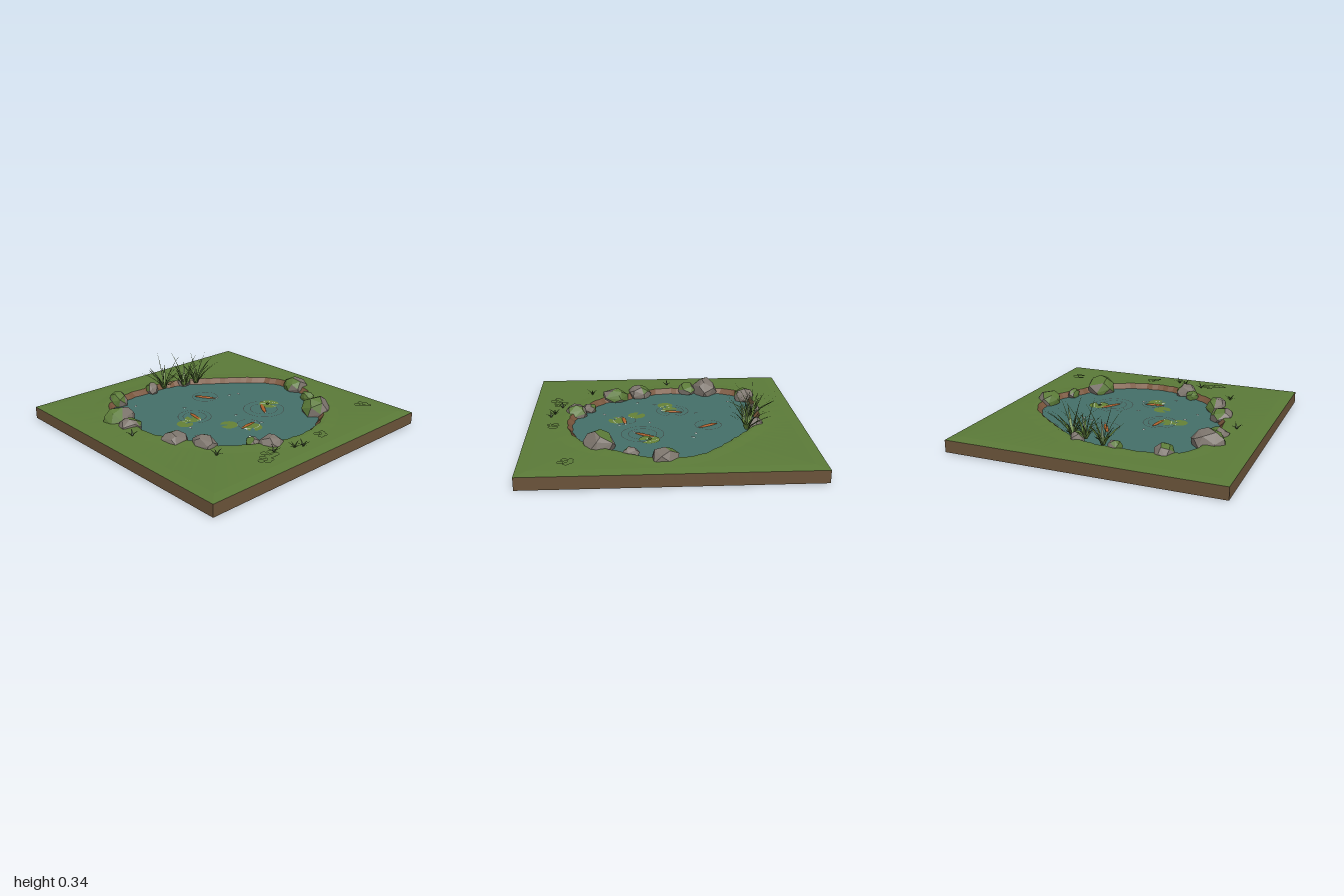
import * as THREE from 'three';
import { mergeGeometries } from 'three/addons/utils/BufferGeometryUtils.js';
import { ConvexGeometry } from 'three/addons/geometries/ConvexGeometry.js';

const WATER = 0.068;

function material(name, color, side = THREE.FrontSide) {
  const m = new THREE.MeshStandardMaterial({ color, side });
  m.name = name;
  return m;
}

// Small seeded generator
function seeded(seed) {
  let s = seed * 7919 + 17;
  return () => ((s = (s * 16807) % 2147483647) / 2147483647);
}

// Faceted surface between successive closed loops, facing up when they widen
function loft(loops) {
  const pos = [];
  for (let k = 0; k + 1 < loops.length; k++) {
    const a = loops[k], b = loops[k + 1], n = a.length;
    for (let i = 0; i < n; i++) {
      const j = (i + 1) % n;
      for (const p of [a[i], a[j], b[i], a[j], b[j], b[i]]) pos.push(p.x, p.y, p.z);
    }
  }
  const g = new THREE.BufferGeometry();
  g.setAttribute('position', new THREE.Float32BufferAttribute(pos, 3));
  g.computeVertexNormals();
  return g;
}

// Tapering, bending leaf blade
function blade(x, y, z, yaw, height, reach, width) {
  const c = Math.cos(yaw), s = Math.sin(yaw), steps = 4, pos = [];
  const at = (t, side) => {
    const out = reach * Math.pow(t, 1.5), w = side * width * (1 - t) * (0.6 + t);
    return [x + c * out - s * w, y + height * (t - 0.15 * t * t) / 0.85, z + s * out + c * w];
  };
  for (let i = 0; i < steps; i++) {
    const t = i / steps, u = (i + 1) / steps;
    pos.push(...at(t, -1), ...at(t, 1), ...at(u, 1));
    pos.push(...at(t, -1), ...at(u, 1), ...at(u, -1));
  }
  const g = new THREE.BufferGeometry();
  g.setAttribute('position', new THREE.Float32BufferAttribute(pos, 3));
  g.computeVertexNormals();
  return g;
}

const flat = (g, x, y, z, yaw = 0) => g.rotateX(-Math.PI / 2).rotateY(yaw).translate(x, y, z);

export function createModel() {
  const model = new THREE.Group();
  model.name = 'pond';
  const D = THREE.DoubleSide;
  const grass = material('grass green', 0x5b7a38);
  const soil = material('soil brown', 0x6a5339);
  const mud = material('bank brown', 0x78553c);
  const waterBlue = material('water teal', 0x446f68);
  const stone = material('stone grey', 0x7d756d);
  const reedDark = material('reed dark green', 0x425a2b, D);
  const reedLight = material('reed light green', 0x64843a, D);
  const lily = material('lily olive', 0x658136, D);
  const koi = material('koi orange', 0xae602c, D);
  const white = material('pale white', 0xc4cdc8, D);
  const add = (name, geometry, mat, parent = model) => {
    const mesh = new THREE.Mesh(geometry, mat);
    mesh.name = name;
    parent.add(mesh);
    return mesh;
  };

  // Pond outline as a radius every 15 degrees
  const radii = [0.78, 0.765, 0.735, 0.75, 0.75, 0.735, 0.715, 0.685, 0.665, 0.66, 0.62, 0.64,
    0.68, 0.705, 0.78, 0.86, 0.82, 0.745, 0.715, 0.685, 0.65, 0.65, 0.69, 0.76];
  const outline = new THREE.CatmullRomCurve3(radii.map((r, i) => {
    const a = (i * Math.PI) / 12;
    return new THREE.Vector3(r * Math.cos(a), 0, r * Math.sin(a));
  }), true);
  const N = 96;
  const shore = (offset, y) => Array.from({ length: N }, (_, i) => {
    const p = outline.getPoint(i / N);
    return p.setLength(p.length() + offset + 0.006 * Math.sin(i * 2.3)).setY(y);
  });
  const square = (half, y) => Array.from({ length: N }, (_, i) => {
    const a = (i * 2 * Math.PI) / N, c = Math.cos(a), s = Math.sin(a);
    const r = half / Math.max(Math.abs(c), Math.abs(s));
    return new THREE.Vector3(c * r, y, s * r);
  });
  const centre = (y) => Array.from({ length: N }, () => new THREE.Vector3(0, y, 0));

  // Soil sides and underside, lawn, bank and water
  add('soil', loft([square(1, 0.089), square(1, 0), centre(0)]), soil);
  add('lawn', loft([shore(0, 0.105), shore(0.03, 0.107), shore(0.11, 0.1),
    square(0.92, 0.098), square(1, 0.089)]), grass);
  add('bank', loft([shore(-0.045, 0.058), shore(0, 0.105)]), mud);
  add('water', loft([centre(WATER), shore(-0.03, WATER)]), waterBlue);

  // Rocks: x, z, half width, half depth, top height, moss direction (degrees), moss threshold
  const rocks = [
    [-0.47, -0.67, 0.075, 0.085, 0.165, 140, 0.6], [-0.68, -0.37, 0.125, 0.095, 0.19, 165, 0.6],
    [-0.69, -0.22, 0.09, 0.078, 0.15, 0, 0.7], [-0.61, 0.18, 0.09, 0.1, 0.155, 300, 0.85],
    [-0.51, 0.38, 0.075, 0.108, 0.165, 320, 0.6], [-0.25, 0.57, 0.05, 0.052, 0.13, 240, 0.4],
    [-0.17, 0.665, 0.088, 0.083, 0.155, 330, 0.8], [0.51, 0.475, 0.118, 0.112, 0.2, 190, 0.5],
    [0.66, 0.265, 0.043, 0.06, 0.135, 160, 0.4], [0.765, 0.045, 0.09, 0.102, 0.165, 200, 0.55],
    [-0.13, -0.69, 0.052, 0.055, 0.145, 200, 0.6], [0.17, -0.65, 0.05, 0.06, 0.15, 120, 0.8]];
  rocks.forEach(([x, z, rx, rz, top, mossAngle, limit], k) => {
    const rnd = seeded(k + 3), pts = [];
    for (let i = 0; i < 24; i++) {
      const h = 1 - (2 * i + 1) / 24, r = Math.sqrt(1 - h * h), a = i * 2.4 + rnd() * 0.7 + k;
      const q = 0.92 + rnd() * 0.18;
      pts.push(new THREE.Vector3(rx * r * Math.cos(a) * q, Math.max((top - 0.085) * h, -0.045), rz * r * Math.sin(a) * q));
    }
    const g = new ConvexGeometry(pts);
    const nor = g.getAttribute('normal'), a = (mossAngle * Math.PI) / 180;
    const moss = new THREE.Vector3(Math.cos(a), 0.9, Math.sin(a)).normalize();
    for (let i = 0; i < nor.count; i += 3) {
      const d = new THREE.Vector3().fromBufferAttribute(nor, i).dot(moss);
      g.addGroup(i, 3, d > limit ? 1 : 0);
    }
    add('rock', g, [stone, grass]).position.set(x, 0.09, z);
  });

  // Reed clumps on the back bank: broad leaves and a few thin arching stalks
  const dark = [], light = [];
  [[-0.03, -0.66, 0.21], [0.13, -0.6, 0.21], [0.24, -0.58, 0.2]].forEach(([x, z, tall], k) => {
    const rnd = seeded(k + 40);
    for (let i = 0; i < 18; i++) {
      const yaw = i * 2.4 + rnd() * 0.5, thin = i % 3 === 2;
      const h = thin ? tall * (0.9 + 0.35 * rnd()) : tall * (0.45 + 0.45 * rnd());
      const reach = thin ? 0.15 + 0.08 * rnd() : 0.07 + 0.12 * rnd();
      const g = blade(x + 0.012 * Math.cos(yaw), 0.085, z + 0.012 * Math.sin(yaw), yaw, h,
        reach, thin ? 0.005 : 0.014);
      (i % 2 ? dark : light).push(g);
    }
  });
  add('reedsDark', mergeGeometries(dark), reedDark);
  add('reedsLight', mergeGeometries(light), reedLight);

  // Small grass tufts
  const tufts = [[-0.79, -0.06], [-0.57, 0.56], [-0.26, 0.78], [-0.11, 0.825], [-0.05, 0.85]];
  add('grassTufts', mergeGeometries(tufts.flatMap(([x, z], k) => Array.from({ length: 6 }, (_, i) =>
    blade(x, 0.098, z, i * 1.05 + k, 0.025 + 0.015 * (i % 2), 0.05, 0.009)))), reedDark);

  // Clover patches
  const clover = [];
  [[0.82, 0.68], [0.17, 0.81], [-0.39, 0.835], [-0.32, 0.8]].forEach(([x, z], k) => {
    for (let i = 0; i < 5; i++) {
      const a = i * 1.26 + k, r = i % 2 ? 0.042 : 0.028;
      clover.push(flat(new THREE.CircleGeometry(0.024, 8), x + r * Math.cos(a), 0.108 + 0.003 * (i % 3), z + r * Math.sin(a)));
    }
  });
  add('clover', mergeGeometries(clover), grass);

  // Lily pads with a notch, and a bud
  const pads = [[-0.35, -0.02, 0.06], [-0.25, -0.05, 0.06], [-0.13, 0.21, 0.065], [-0.03, 0.355, 0.068], [0.37, 0.13, 0.075]];
  add('lilyPads', mergeGeometries(pads.map(([x, z, r], k) =>
    flat(new THREE.CircleGeometry(r, 18, 0.3, 5.7), x, WATER + 0.003 + k * 0.0003, z, k * 1.3))), lily);
  add('lilyBud', new THREE.SphereGeometry(0.012, 8, 6).scale(1, 0.6, 1).translate(0.36, WATER + 0.007, 0.125), reedDark);

  // Koi: x, z, heading angle from head to tail, length
  [[0.105, -0.315, 60, 0.17], [-0.205, -0.075, 102, 0.15], [0.28, 0.155, 125, 0.18], [-0.03, 0.305, -7, 0.15]]
    .forEach(([x, z, deg, len]) => {
      const fish = new THREE.Group();
      fish.name = 'koi';
      fish.position.set(x, WATER, z);
      fish.rotation.y = (-deg * Math.PI) / 180;
      add('body', new THREE.SphereGeometry(1, 10, 8).scale(len / 2, 0.01, 0.015), koi, fish);
      const fin = new THREE.Shape([[0, 0], [0.045, 0.01], [0.038, 0], [0.045, -0.01]]
        .map(([a, b]) => new THREE.Vector2(a, b)));
      add('tail', flat(new THREE.ShapeGeometry(fin), len / 2 - 0.02, 0.006, 0), white, fish);
      model.add(fish);
    });

  // Ripples: x, z, radius
  const ripples = [[0.105, -0.315, 0.1], [-0.215, -0.07, 0.125], [-0.215, -0.07, 0.088],
    [0.265, 0.175, 0.155], [0.265, 0.175, 0.104], [-0.02, 0.3, 0.085]];
  add('ripples', mergeGeometries(ripples.map(([x, z, r]) =>
    flat(new THREE.RingGeometry(r - 0.004, r, 48), x, WATER + 0.006, z))), white);

  // Floating petals
  const petals = [[-0.41, -0.53], [-0.16, -0.25], [0.27, -0.21], [0.345, -0.185], [-0.42, 0.195],
    [0.03, 0.115], [-0.365, 0.06], [0.075, 0.34], [-0.16, 0.455], [-0.09, 0.345]];
  add('petals', mergeGeometries(petals.map(([x, z], i) =>
    flat(new THREE.CircleGeometry(0.02, 4).scale(1, 0.6, 1), x, WATER + 0.005, z, i * 1.1 + 1))), white);

  return model;
}
